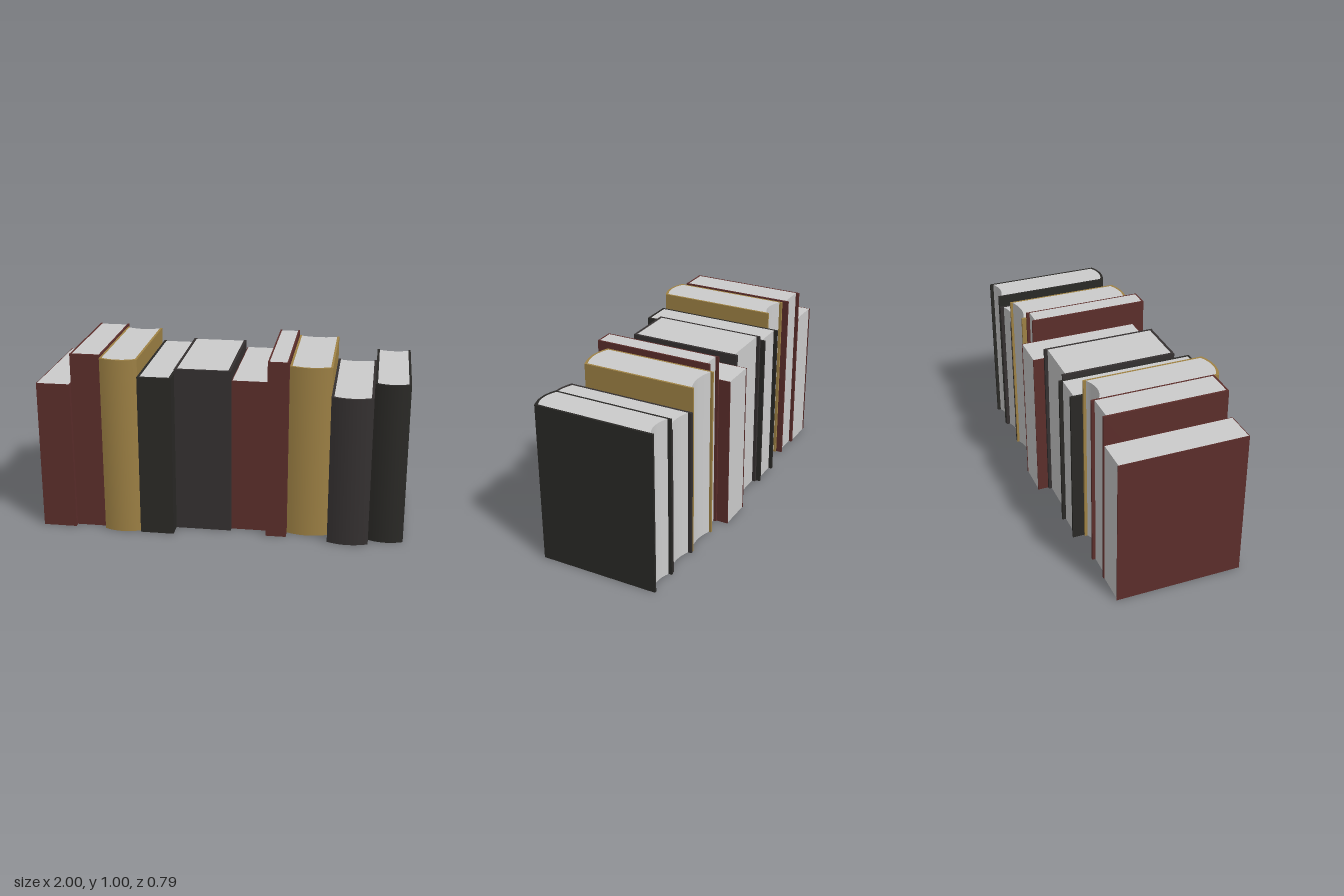
import * as THREE from 'three';
import { toCreasedNormals } from 'three/addons/utils/BufferGeometryUtils.js';

const MAROON = 0x5c2e2b, GOLD = 0x9f8245, BLACK = 0x2a2926, CHARCOAL = 0x353131;

// left x, right x, height, spine z, cover back z, page back z, cover thickness, spine bulge, page hollow, color
const BOOKS = [
  [-1.0, -0.815, 0.835, 0.37, -0.33, -0.325, 0.004, 0, 0, MAROON],
  [-0.815, -0.645, 0.998, 0.34, -0.33, -0.312, 0.011, 0, 0, MAROON],
  [-0.645, -0.44, 0.99, 0.396, -0.295, -0.28, 0.012, 0.025, 0.025, GOLD],
  [-0.44, -0.255, 0.9, 0.39, -0.36, -0.34, 0.014, 0, 0, BLACK],
  [-0.255, 0.052, 0.926, 0.303, -0.335, -0.317, 0.015, 0, 0, CHARCOAL],
  [0.052, 0.252, 0.867, 0.275, -0.396, -0.393, 0.004, 0, 0, MAROON],
  [0.252, 0.363, 0.998, 0.34, -0.33, -0.312, 0.009, 0, 0, MAROON],
  [0.363, 0.59, 0.963, 0.305, -0.355, -0.342, 0.012, 0.025, 0.02, GOLD],
  [0.59, 0.812, 0.831, 0.392, -0.355, -0.335, 0.014, 0.025, 0.02, CHARCOAL],
  [0.812, 1.0, 0.897, 0.333, -0.358, -0.34, 0.013, 0.022, 0.02, BLACK],
];

// Continues a plan outline to (x, z), bowing by `bow` towards +z
function edge(shape, fromX, x, z, bow) {
  if (bow) shape.quadraticCurveTo((fromX + x) / 2, -(z + 2 * bow), x, -z);
  else shape.lineTo(x, -z);
}

// Raises a plan outline (x, -z) to a height
function raise(shape, height, color, name) {
  const geo = new THREE.ExtrudeGeometry(shape, { depth: height, bevelEnabled: false, curveSegments: 10 });
  geo.rotateX(-Math.PI / 2);
  const mesh = new THREE.Mesh(toCreasedNormals(geo, 0.4), new THREE.MeshStandardMaterial({ color }));
  mesh.name = name;
  return mesh;
}

function makeBook([x0, x1, height, spineZ, backZ, pageZ, t, bulge, hollow, color]) {
  const book = new THREE.Group();
  const z = spineZ - bulge, a = x0 + t, b = x1 - t;

  // U-shaped cover: two boards joined by the spine
  const cover = new THREE.Shape();
  cover.moveTo(x0, -backZ);
  cover.lineTo(x0, -z);
  edge(cover, x0, x1, z, bulge);
  cover.lineTo(x1, -backZ);
  cover.lineTo(b, -backZ);
  cover.lineTo(b, -(z - t));
  edge(cover, b, a, z - t, bulge);
  cover.lineTo(a, -backZ);
  cover.closePath();
  book.add(raise(cover, height, color, 'cover'));

  // Page block, following the spine and hollowed at the back
  const pages = new THREE.Shape();
  pages.moveTo(a, -pageZ);
  pages.lineTo(a, -(z - t));
  edge(pages, a, b, z - t, bulge);
  pages.lineTo(b, -pageZ);
  edge(pages, b, a, pageZ, hollow);
  book.add(raise(pages, height, 0xcccccc, 'pages'));
  return book;
}

export function createModel() {
  const row = new THREE.Group();
  row.name = 'bookRow';
  BOOKS.forEach((spec, i) => {
    const book = makeBook(spec);
    book.name = `book${i + 1}`;
    row.add(book);
  });
  return row;
}
